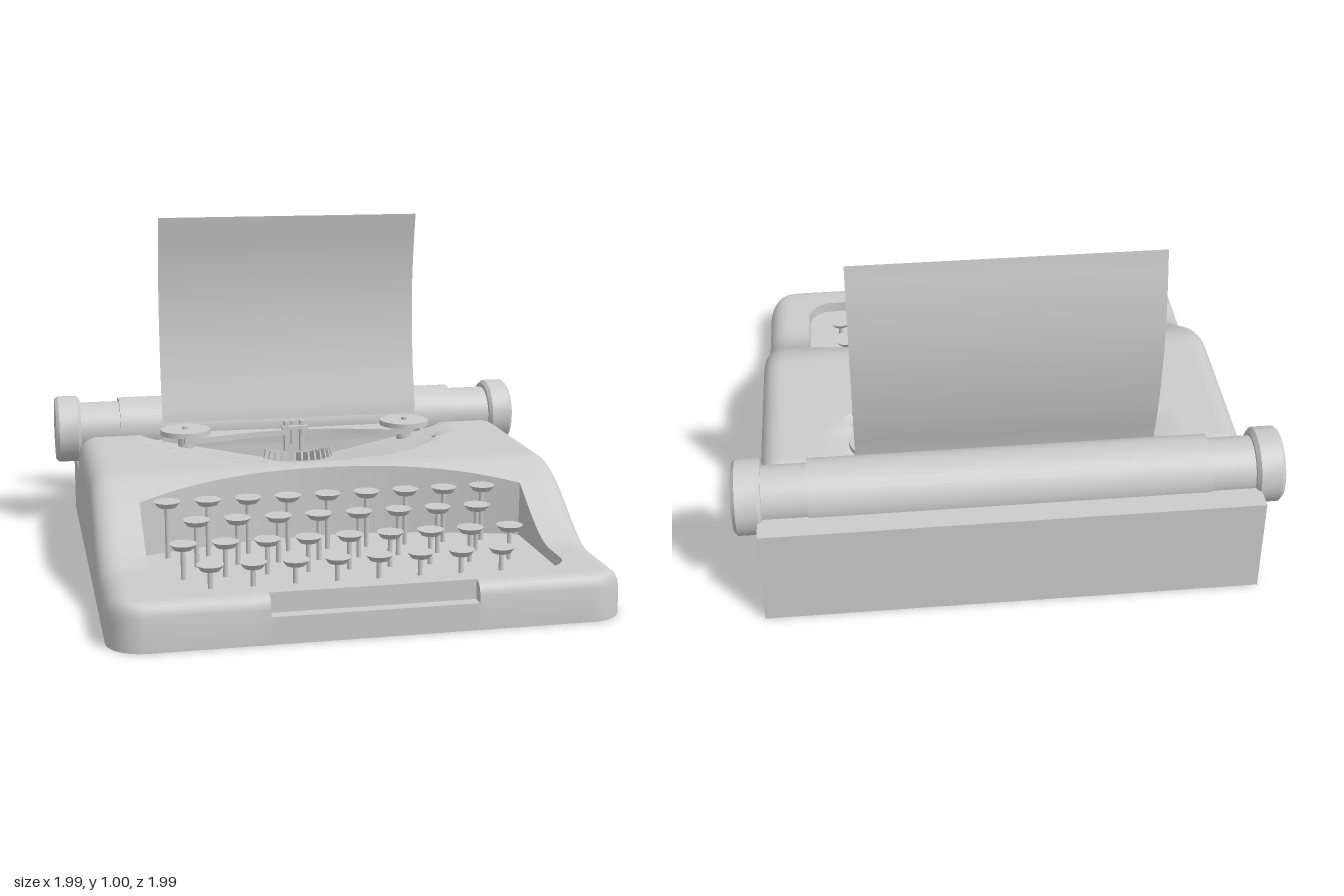
import * as THREE from 'three';
import { toCreasedNormals } from 'three/addons/utils/BufferGeometryUtils.js';

const W = 0.7, FRONT = 0.765, WELL = 0.565, PIT = 0.43, NOTCH = 0.28;
const mat = new THREE.MeshStandardMaterial({ color: 0xcccccc, side: THREE.DoubleSide });

function add(parent, name, geometry, x = 0, y = 0, z = 0) {
  const m = new THREE.Mesh(geometry, mat);
  m.name = name;
  m.position.set(x, y, z);
  parent.add(m);
  return m;
}

// how far a quarter-round of radius r lies below its corner at distance d
const round = (d, r) => (d >= r ? 0 : r - Math.sqrt(Math.max(0, r * r - (r - d) ** 2)));

// Shell height: low tray in front, S-curve up to the deck, dish behind
function deck(x, z, frontZ, backZ) {
  let y = 0.31 - 0.18 * THREE.MathUtils.smoothstep(z, 0.08, 0.5);
  const r = Math.hypot(x, z + 0.42);
  if (r < 0.48) y -= 0.012 + 0.1 * (1 - r / 0.48);
  y -= round(W - Math.abs(x), 0.06) + round(frontZ - z, 0.035);
  if (Math.abs(x) > PIT) y -= round(z - backZ, 0.04);
  return Math.max(y, 0.05);
}

// Side profile of the shell at one x, from the back foot to the front foot
function profile(x) {
  const ax = Math.abs(x), pit = ax < PIT, well = ax < WELL;
  const zf = FRONT - round(W - ax, 0.1);
  const zp = pit ? -0.385 : -0.43, yp = pit ? 0.06 : 0.2;
  const zt = 0.125 + 0.11 * Math.min(1, ax / WELL) ** 2;
  const zw = 0.67 - round(Math.max(0, WELL - ax), 0.08);
  const H = z => deck(x, z, zf, zp);
  const p = [[-0.704, 0], [-0.704, 0.3], [-0.63, 0.3], [-0.63, 0.2],
    [-0.485, 0.2], [-0.485, yp], [zp, yp]];
  const run = (a, b, n, f) => {
    for (let i = 0; i <= n; i++) {
      const z = a + (b - a) * i / n;
      p.push([z, f(z)]);
    }
  };
  run(zp, zp + 0.04, 5, H);
  run(zp + 0.04, zt, 26, H);
  run(zt, zw, 16, z => (well ? 0.095 : H(z)));
  run(zw, zf - 0.035, 4, H);
  run(zf - 0.035, zf, 6, z => (ax < NOTCH ? Math.min(0.075, H(z)) : H(z)));
  p.push([zf, 0]);
  return p;
}

function shellGeometry() {
  const half = [0, NOTCH - 0.0005, NOTCH, PIT - 0.0005, PIT, WELL - 0.0005, WELL];
  for (let x = 0.035; x < 0.49; x += 0.035) half.push(x);
  for (let k = 1; k <= 5; k++) half.push(WELL - 0.08 * (1 - Math.sin(k * 0.26)));
  for (let k = 0; k <= 10; k++) half.push(0.6 + 0.1 * Math.sin(k * Math.PI / 20));
  half.sort((a, b) => a - b);
  const xs = [...half.slice(1).reverse().map(x => -x), ...half];
  const cols = xs.map(x => profile(x).map(([z, y]) => [x, y, z]));
  // side walls
  const foot = c => c.map(([x, , z]) => [x, 0, z]);
  cols.unshift(foot(cols[0]));
  cols.push(foot(cols[cols.length - 1]));
  const n = cols[0].length, index = [];
  for (let i = 0; i < cols.length - 1; i++) {
    for (let j = 0; j < n - 1; j++) {
      const a = i * n + j, c = a + n;
      index.push(a, a + 1, c, a + 1, c + 1, c);
    }
  }
  const g = new THREE.BufferGeometry();
  g.setAttribute('position', new THREE.Float32BufferAttribute(cols.flat(2), 3));
  g.setIndex(index);
  return toCreasedNormals(g, 0.6);
}

// Roller, its stepped ends and the two knobs
function carriage() {
  const g = new THREE.Group();
  g.name = 'carriage';
  g.position.set(0, 0.31, -0.54);
  const rod = (name, r, len, x) => add(g, name, new THREE.CylinderGeometry(r, r, len, 32), x).rotateZ(Math.PI / 2);
  rod('roller', 0.096, 1.12, 0);
  const knob = [[0, -0.04], [0.096, -0.04], [0.107, -0.03], [0.107, 0.03], [0.098, 0.04], [0, 0.04]]
    .map(([r, y]) => new THREE.Vector2(r, y));
  for (const s of [-1, 1]) {
    rod('rollerEnd', 0.084, 0.16, s * 0.63);
    const geo = toCreasedNormals(new THREE.LatheGeometry(knob, 28), 0.5);
    add(g, 'knob', geo, s * 0.727).rotateZ(Math.PI / 2);
  }
  return g;
}

// Curved sheet rising from the front of the roller
function paper() {
  const curve = new THREE.CatmullRomCurve3([[0.25, -0.45], [0.33, -0.447], [0.5, -0.482], [0.7, -0.501], [0.85, -0.492], [1.0, -0.466]]
    .map(([y, z]) => new THREE.Vector3(0, y, z)));
  const g = new THREE.PlaneGeometry(0.85, 1, 1, 24), p = g.attributes.position, v = new THREE.Vector3();
  for (let i = 0; i < p.count; i++) {
    curve.getPoint(p.getY(i) + 0.5, v);
    p.setXYZ(i, p.getX(i), v.y, v.z);
  }
  g.computeVertexNormals();
  return g;
}

function keyboard() {
  const g = new THREE.Group();
  g.name = 'keyboard';
  // z, key height, first x, number of keys
  const rows = [[0.262, 0.262, -0.49, 9], [0.362, 0.232, -0.42, 8], [0.465, 0.196, -0.47, 9], [0.565, 0.164, -0.41, 8]];
  const cap = new THREE.CylinderGeometry(0.038, 0.026, 0.016, 20);
  for (const [z, y, x0, n] of rows) {
    const post = new THREE.CylinderGeometry(0.007, 0.007, y - 0.08, 8);
    for (let i = 0; i < n; i++) {
      const x = x0 + i * 0.116;
      add(g, 'keyCap', cap, x, y - 0.008, z);
      add(g, 'keyPost', post, x, (y + 0.07) / 2, z);
    }
  }
  return g;
}

function typeBasket() {
  const g = new THREE.Group();
  g.name = 'typeBasket';
  // fan of type bars
  const bar = new THREE.BoxGeometry(0.006, 0.03, 0.1);
  for (let i = 0; i < 13; i++) {
    const a = (i / 12 - 0.5) * 2.2;
    const m = add(g, 'typeBar', bar, Math.sin(a) * 0.075, 0.235, -0.375 + Math.cos(a) * 0.075);
    m.rotation.set(-0.25, a, 0, 'YXZ');
  }
  // comb under the fan
  for (let i = 0; i < 25; i++) {
    add(g, 'combTooth', new THREE.BoxGeometry(0.008, 0.1, 0.05), (i - 12) * 0.022, 0.16, -0.37);
  }
  // ribbon spools on short posts
  for (const s of [-1, 1]) {
    add(g, 'spool', new THREE.CylinderGeometry(0.08, 0.08, 0.016, 28), s * 0.362, 0.326, -0.35);
    add(g, 'spoolPost', new THREE.CylinderGeometry(0.025, 0.025, 0.08, 16), s * 0.362, 0.285, -0.35);
    add(g, 'spoolPin', new THREE.CylinderGeometry(0.01, 0.01, 0.01, 10), s * 0.362, 0.338, -0.35);
    // tapering ribbon arm
    const arm = new THREE.Shape();
    arm.moveTo(s * 0.37, -0.3);
    arm.bezierCurveTo(s * 0.22, -0.31, s * 0.2, -0.36, s * 0.02, -0.365);
    arm.lineTo(s * 0.02, -0.395);
    arm.bezierCurveTo(s * 0.2, -0.4, s * 0.24, -0.4, s * 0.37, -0.4);
    const geo = new THREE.ExtrudeGeometry(arm, { depth: 0.018, bevelEnabled: false, curveSegments: 14 });
    add(g, 'ribbonArm', geo.rotateX(Math.PI / 2), 0, 0.312, 0);
    // ribbon guide posts
    add(g, 'ribbonGuide', new THREE.BoxGeometry(0.014, 0.1, 0.025), s * 0.026, 0.288, -0.385);
  }
  add(g, 'ribbonGuideBar', new THREE.BoxGeometry(0.085, 0.012, 0.02), 0, 0.318, -0.372);
  add(g, 'typeGuide', new THREE.BoxGeometry(0.016, 0.08, 0.02), 0, 0.295, -0.4);
  return g;
}

export function createModel() {
  const model = new THREE.Group();
  model.name = 'typewriter';
  const machine = new THREE.Group();
  machine.name = 'machine';
  machine.rotation.y = THREE.MathUtils.degToRad(46.6);
  model.add(machine);
  add(machine, 'shell', shellGeometry());
  add(machine, 'paper', paper());
  machine.add(carriage(), keyboard(), typeBasket());
  // paper rest with its row of teeth
  add(machine, 'paperRest', new THREE.BoxGeometry(0.86, 0.1, 0.012), 0, 0.22, -0.475);
  return model;
}
